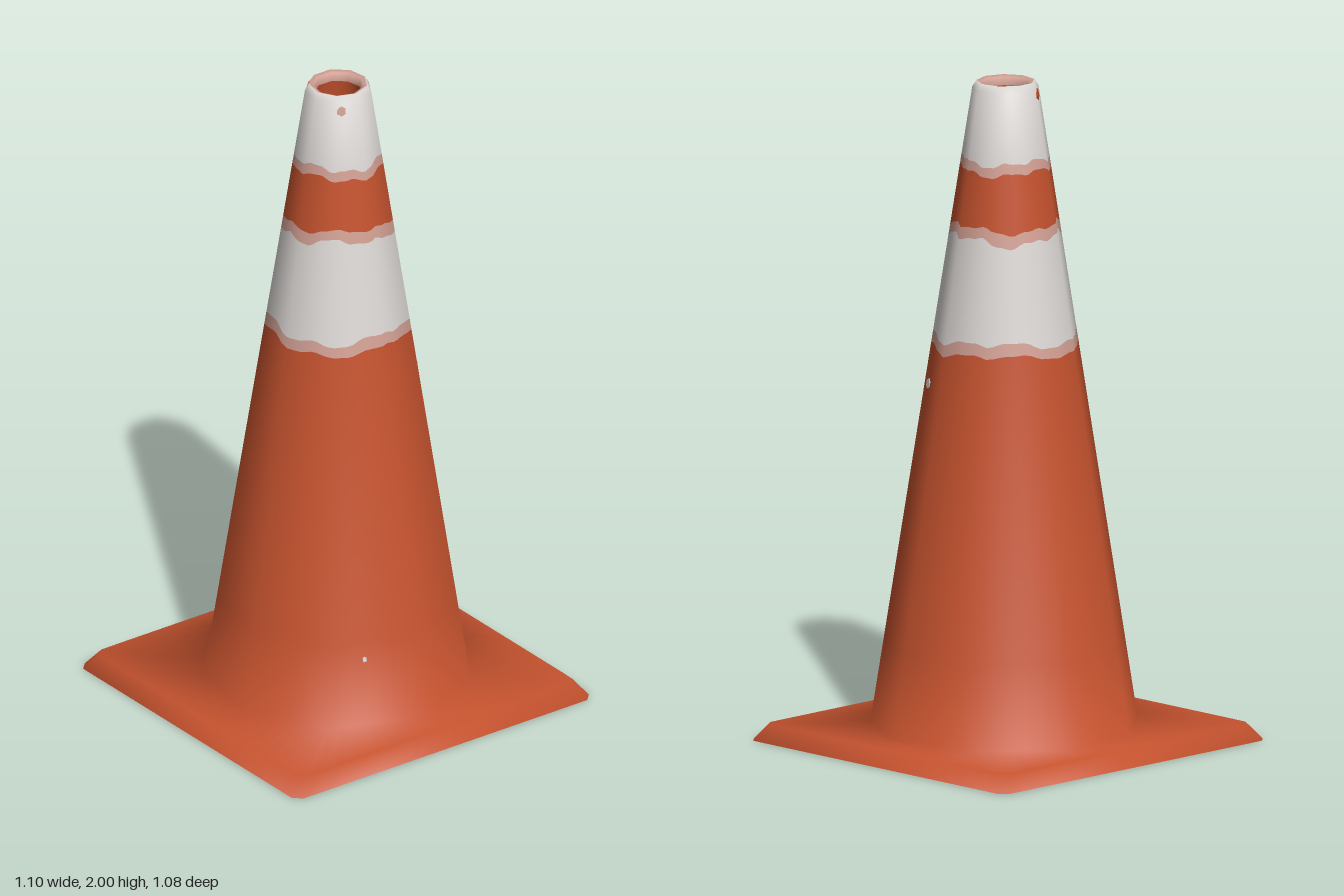
import * as THREE from 'three';

const material = (name, color) => {
  const m = new THREE.MeshStandardMaterial({ color });
  m.name = name;
  return m;
};

// Columns: even steps that hit the nine cone corners, plus the base corners
const HX = 0.55, HZ = 0.54, CUT = 0.025;
const angles = Array.from({ length: 72 }, (_, i) => (i * Math.PI) / 36);
for (const sx of [-1, 1]) for (const sz of [-1, 1]) {
  for (const [x, z] of [[HX - CUT, HZ], [HX, HZ - CUT]]) {
    angles.push((Math.atan2(sx * x, sz * z) + Math.PI * 2) % (Math.PI * 2));
  }
}
angles.sort((a, b) => a - b);
angles.push(Math.PI * 2);

// Distance from the axis to a nine-sided outline, a circle or the base outline
const SIDE = (Math.PI * 2) / 9;
const nonagon = (a, r) => (r * Math.cos(SIDE / 2)) / Math.cos((a % SIDE) - SIDE / 2);
const square = (a, inset) => {
  const s = Math.abs(Math.sin(a)), c = Math.abs(Math.cos(a));
  const hx = HX - inset, hz = HZ - inset;
  return Math.min(hx / Math.max(s, 1e-6), hz / Math.max(c, 1e-6), (hx + hz - CUT) / (s + c));
};
const coneRadius = (y) => 0.403 - (y - 0.05) * 0.157;

// A ring is { r(a), y(a), n: [outward, up], cx }
const poly = (r, y, n) => ({ r: (a) => nonagon(a, r), y: () => y, n, cx: 0.009 });
const circle = (r, y, n) => ({ r: () => r, y: () => y, n, cx: 0.009 });
const plate = (inset, y, n) => ({ r: (a) => square(a, inset), y: () => y, n, cx: 0 });
const onCone = (y, n) => ({ r: (a) => nonagon(a, coneRadius(y(a))), y, n, cx: 0.009 });

// Skin between successive rings with smooth normals
function loft(name, mat, rings) {
  const pos = [], nor = [], idx = [], w = angles.length;
  rings.forEach((ring, j) => angles.forEach((a, i) => {
    const r = ring.r(a), s = Math.sin(a), c = Math.cos(a);
    const l = Math.hypot(...ring.n);
    pos.push(ring.cx + r * s, ring.y(a), r * c);
    nor.push((ring.n[0] * s) / l, ring.n[1] / l, (ring.n[0] * c) / l);
    if (j && i) {
      const d = j * w + i, b = d - w;
      idx.push(b - 1, b, d, b - 1, d, d - 1);
    }
  }));
  const g = new THREE.BufferGeometry();
  g.setAttribute('position', new THREE.Float32BufferAttribute(pos, 3));
  g.setAttribute('normal', new THREE.Float32BufferAttribute(nor, 3));
  g.setIndex(idx);
  const mesh = new THREE.Mesh(g, mat);
  mesh.name = name;
  return mesh;
}

export function createModel() {
  const orange = material('orange plastic', 0xc4522e);
  const white = material('white band', 0xdcd8d5);
  const pink = material('faded band edge', 0xd2a094);
  const group = new THREE.Group();
  group.name = 'trafficCone';

  // Base plate with sloped rim and open underside
  group.add(
    loft('base', orange, [
      plate(0, 0, [0.75, 0.65]),
      plate(0.035, 0.05, [0.35, 0.94]),
      poly(0.403, 0.05, [0.8, 0.6]),
    ]),
    loft('underside', orange, [circle(0.39, 0, [0, -1]), plate(0, 0, [0, -1])]),
  );

  // Wavy band edges up the cone
  const wave = (y, amp, p) => (a) =>
    y + amp * (Math.sin(3 * a + p) * 0.5 + Math.sin(7 * a + 2 * p) * 0.4 + Math.sin(17 * a) * 0.15);
  const wall = [0.98, 0.17];
  const edges = [
    onCone(() => 0.05, [0.8, 0.6]),
    onCone(wave(1.2, 0.014, 1), wall),
    onCone(wave(1.235, 0.018, 1.2), wall),
    onCone(wave(1.54, 0.022, 3.5), wall),
    onCone(wave(1.575, 0.016, 3.3), wall),
    onCone(wave(1.74, 0.013, 5), wall),
    onCone(wave(1.77, 0.014, 5.2), wall),
    onCone(() => 1.98, [0.9, 0.4]),
  ];
  const bands = [
    ['lowerCone', orange], ['lowerBandBottomEdge', pink], ['lowerBand', white],
    ['lowerBandTopEdge', pink], ['upperCone', orange], ['topBandEdge', pink], ['topBand', white],
  ];
  bands.forEach(([name, mat], i) => {
    // A blend ring keeps the foot shading close to the base
    const rings = i ? [edges[i], edges[i + 1]] : [edges[0], onCone(() => 0.3, [0.96, 0.27]), edges[1]];
    group.add(loft(name, mat, rings));
  });

  // Rim around the top hole and the hollow inside
  group.add(
    loft('rim', white, [poly(0.1, 1.98, [0.9, 0.4]), poly(0.087, 2, [0.2, 0.98])]),
    loft('rimInside', pink, [
      poly(0.087, 2, [0.2, 0.98]), poly(0.075, 1.995, [-0.5, 0.85]), poly(0.07, 1.97, [-1, 0]),
    ]),
    loft('innerWall', orange, [
      poly(0.07, 1.97, [-0.98, -0.17]),
      poly(0.372, 0.06, [-0.98, -0.17]),
      circle(0.39, 0, [-0.98, -0.17]),
    ]),
  );

  // Small chips lying on the cone surface
  const chip = (name, mat, a, y, w, h) => {
    const mesh = new THREE.Mesh(new THREE.CylinderGeometry(1, 1, 0.004, 6), mat);
    mesh.geometry.rotateX(Math.PI / 2);
    mesh.name = name;
    mesh.scale.set(w, h, 1);
    const mid = (Math.floor(a / SIDE) + 0.5) * SIDE;
    const r = nonagon(a, coneRadius(y));
    mesh.position.set(0.009 + r * Math.sin(a), y, r * Math.cos(a));
    mesh.rotation.set(-0.155, mid, 0, 'YXZ');
    group.add(mesh);
  };
  chip('whiteChip', white, 0.87, 1.085, 0.02, 0.016);
  chip('smallChip', white, Math.PI * 2 - 0.42, 0.25, 0.007, 0.009);
  chip('rimScuff', pink, Math.PI * 2 - 0.55, 1.955, 0.014, 0.016);
  chip('rimWear', orange, Math.PI + 0.5, 1.965, 0.022, 0.018);

  return group;
}
